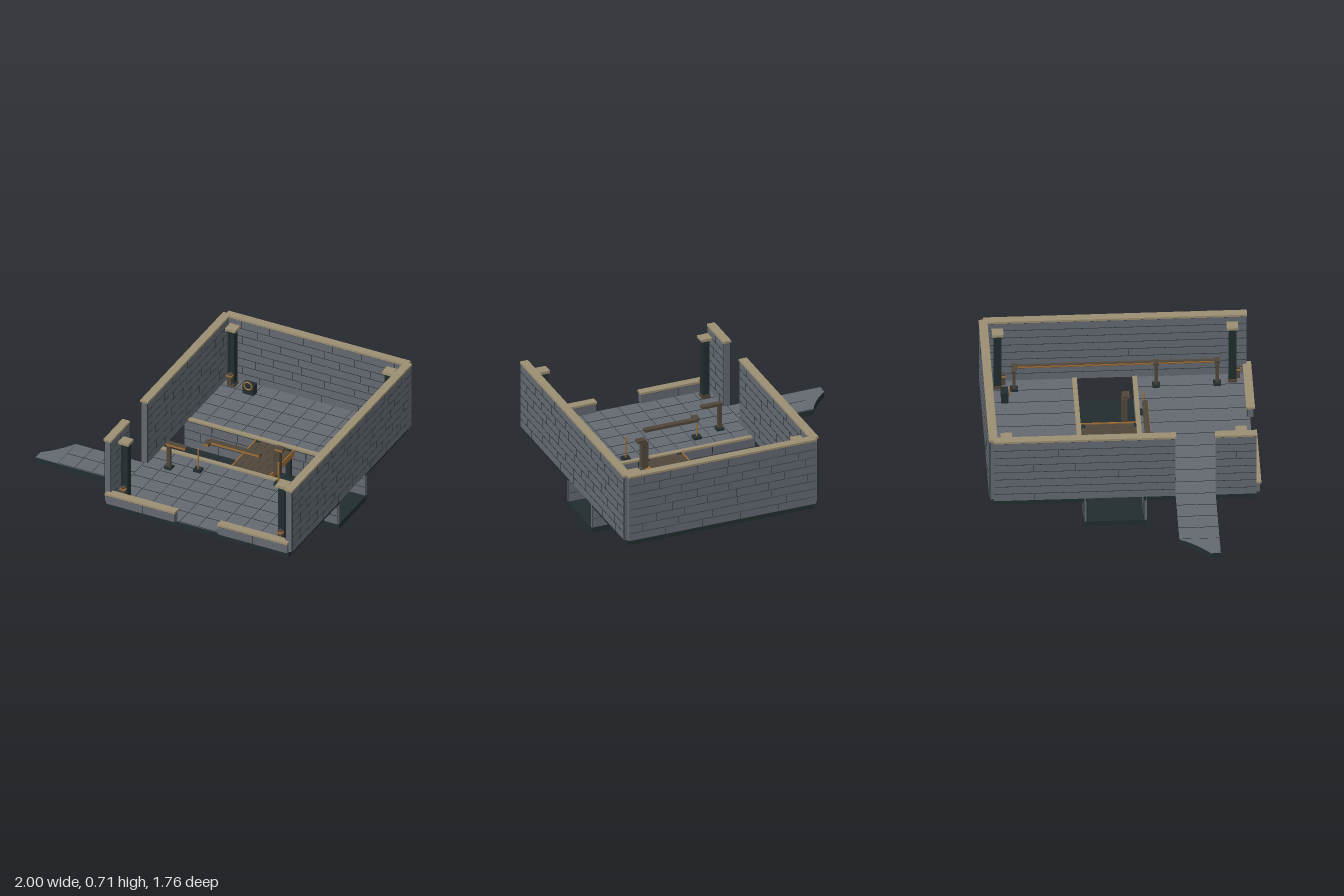
import * as THREE from 'three';
import { mergeGeometries } from 'three/addons/utils/BufferGeometryUtils.js';

const mat = (name, color) => Object.assign(new THREE.MeshStandardMaterial({ color }), { name });

export function createModel() {
  const stone = mat('grey stone', 0x646971);
  const dark = mat('dark slate', 0x222d2f);
  const tan = mat('tan coping', 0x9b8e72);
  const brown = mat('dark bronze', 0x50463a);
  const brass = mat('brass', 0xa06d32);
  const model = new THREE.Group();

  let seed = 7;
  const rand = () => (seed = (seed * 16807) % 2147483647) / 2147483647;

  // box given by its minimum and maximum corners
  function box(name, m, x0, x1, y0, y1, z0, z1, parent = model) {
    const mesh = new THREE.Mesh(new THREE.BoxGeometry(x1 - x0, y1 - y0, z1 - z0), m);
    mesh.position.set((x0 + x1) / 2, (y0 + y1) / 2, (z0 + z1) / 2);
    mesh.name = name;
    parent.add(mesh);
    return mesh;
  }

  // raised blocks facing +z: dark edges, stone faces, joints between
  function panel(name, w, h, rows, blockW, bond, depth = 0.006) {
    const bodies = [], faces = [], rh = h / rows, gap = 0.006;
    for (let r = 0; r < rows; r++) {
      let u = 0;
      let next = bond ? blockW * (r % 2 ? 0.5 : 1) * (0.8 + 0.4 * rand()) : blockW;
      while (u < w - 0.001) {
        let end = Math.min(w, u + next);
        if (w - end < blockW * 0.25) end = w;
        const bw = end - u - gap, bh = rh - gap;
        const x = (u + end) / 2 - w / 2, y = (r + 0.5) * rh - h / 2;
        bodies.push(new THREE.BoxGeometry(bw, bh, depth - 0.001).translate(x, y, (depth - 0.001) / 2));
        faces.push(new THREE.PlaneGeometry(bw, bh).translate(x, y, depth));
        u = end;
        next = bond ? blockW * (0.8 + 0.4 * rand()) : blockW;
      }
    }
    const g = new THREE.Group();
    g.name = name;
    [[bodies, dark, 'blockEdges'], [faces, stone, 'blockFaces']].forEach(([list, m, n]) => {
      const mesh = new THREE.Mesh(mergeGeometries(list), m);
      mesh.name = n;
      g.add(mesh);
    });
    return g;
  }

  // brick wall with both sides faced and an optional coping
  function wall(name, x, z, len, y0, y1, rows, turn, thick = 0.05, cap = 0.015) {
    const g = new THREE.Group(), h = y1 - y0 - cap, core = thick - 0.012;
    g.name = name;
    box('wallCore', stone, -len / 2, len / 2, 0, h, -core / 2, core / 2, g);
    for (const s of [1, -1]) {
      const p = panel('bricks', len, h, rows, 0.23, true);
      p.position.set(0, h / 2, s * core / 2);
      if (s < 0) p.rotation.y = Math.PI;
      g.add(p);
    }
    if (cap) box('coping', tan, -len / 2 - 0.004, len / 2 + 0.004, h, h + cap, -thick / 2 - 0.003, thick / 2 + 0.003, g);
    g.position.set(x, y0, z);
    g.rotation.y = turn;
    model.add(g);
  }

  // slab with a stone bed and paving tiles
  function paved(name, x0, x1, z0, z1, cols, rows) {
    box(name + 'Slab', dark, x0, x1, 0.195, 0.234, z0, z1);
    box(name + 'Bed', stone, x0, x1, 0.234, 0.236, z0, z1);
    const p = panel(name + 'Tiles', x1 - x0, z1 - z0, rows, (x1 - x0) / cols, false, 0.004);
    p.rotation.x = -Math.PI / 2;
    p.position.set((x0 + x1) / 2, 0.236, (z0 + z1) / 2);
    model.add(p);
  }
  paved('frontFloor', -0.345, 0.97, 0.12, 0.85, 10, 6);
  paved('backFloor', -0.345, 0.97, -0.85, -0.25, 10, 5);
  paved('walkway', -0.84, -0.345, 0.325, 0.585, 4, 2);

  // broken end of the walkway
  const end = new THREE.Shape();
  end.moveTo(-0.84, 0.325);
  end.quadraticCurveTo(-0.905, 0.445, -1, 0.52);
  end.lineTo(-1, 0.585);
  end.lineTo(-0.84, 0.585);
  for (const [n, m, top, d] of [['walkwayEnd', dark, 0.236, 0.041], ['walkwayEndPaving', stone, 0.24, 0.004]]) {
    const e = new THREE.Mesh(new THREE.ExtrudeGeometry(end, { depth: d, bevelEnabled: false, curveSegments: 8 }), m);
    e.rotation.x = Math.PI / 2;
    e.position.y = top;
    e.name = n;
    model.add(e);
  }

  // enclosing walls
  const q = Math.PI / 2;
  wall('leftWall', 0.97, 0, 1.7, 0.24, 0.715, 8, q);
  wall('backWall', 0.3125, -0.855, 1.315, 0.24, 0.715, 8, 0);
  wall('rightWallBack', -0.345, -0.2625, 1.175, 0.24, 0.715, 8, q);
  wall('rightWallFront', -0.345, 0.7175, 0.265, 0.24, 0.715, 8, q);
  wall('lowFrontWallRight', -0.095, 0.853, 0.5, 0.24, 0.32, 1, 0);
  wall('lowFrontWallLeft', 0.72, 0.853, 0.5, 0.24, 0.32, 1, 0);

  // channel under the floor, with curbs
  box('channelFloor', dark, -0.345, 0.97, 0, 0.04, -0.26, 0.13);
  wall('channelFrontWall', 0.3125, 0.132, 1.315, 0.04, 0.238, 3, 0, 0.026, 0);
  wall('channelBackWall', 0.3125, -0.257, 1.315, 0.04, 0.238, 3, 0, 0.026, 0);
  box('frontCurb', tan, -0.32, 0.945, 0.236, 0.25, 0.11, 0.141);
  box('backCurb', tan, -0.32, 0.945, 0.236, 0.25, -0.28, -0.249);

  // plank bridge with legs and brass edges
  for (let i = 0; i < 6; i++) {
    const x = 0.18 + i * 0.0437;
    box('bridgePlank', brown, x, x + 0.042, 0.2, 0.24, -0.245, 0.115);
  }
  for (const x of [0.172, 0.446]) box('bridgeEdge', brass, x, x + 0.008, 0.2, 0.244, -0.248, 0.112);
  for (const x of [0.18, 0.405]) for (const z of [-0.24, 0.095]) {
    box('bridgeLeg', dark, x, x + 0.035, 0.04, 0.2, z, z + 0.025);
    box('bridgeLegHead', dark, x, x + 0.035, 0.2, 0.242, z, z + 0.02);
  }

  // corner pillars with a bracket at the foot
  for (const x of [-0.26, 0.88]) for (const z of [-0.765, 0.755]) {
    const p = new THREE.Group();
    p.name = 'pillar';
    p.position.set(x, 0, z);
    model.add(p);
    box('pillarCore', dark, -0.02, 0.02, 0.24, 0.665, -0.02, 0.02, p);
    for (const s of [-0.017, 0.017]) box('pillarRib', dark, s - 0.007, s + 0.007, 0.24, 0.665, -0.025, 0.025, p);
    box('pillarFoot', brown, -0.028, 0.028, 0.24, 0.265, -0.028, 0.028, p);
    box('pillarCap', tan, -0.037, 0.037, 0.663, 0.682, -0.037, 0.037, p);
    box('pillarBracket', brown, -0.014, 0.014, 0.265, 0.345, 0.02, 0.05, p);
    box('bracketPlate', brass, -0.02, 0.02, 0.325, 0.337, 0.02, 0.052, p);
  }

  // small cabinets with a brass ring
  for (const x of [-0.115, 0.74]) {
    box('cabinet', dark, x - 0.04, x + 0.04, 0.24, 0.315, -0.75, -0.702);
    const ring = new THREE.Mesh(new THREE.TorusGeometry(0.028, 0.005, 6, 16), brass);
    ring.position.set(x, 0.308, -0.699);
    ring.name = 'cabinetRing';
    model.add(ring);
  }

  // long rail beside the left wall
  box('longRail', brown, 0.834, 0.856, 0.418, 0.436, -0.66, 0.66);
  box('longRailInlay', brass, 0.831, 0.834, 0.422, 0.432, -0.64, 0.64);
  for (const z of [-0.66, 0.26, 0.655]) {
    box('railPost', brown, 0.835, 0.855, 0.24, 0.42, z - 0.01, z + 0.01);
    box('railCollar', brown, 0.823, 0.867, 0.412, 0.437, z - 0.018, z + 0.018);
    box('railFoot', dark, 0.82, 0.87, 0.24, 0.255, z - 0.025, z + 0.025);
  }
  box('railReturn', brown, 0.77, 0.85, 0.418, 0.437, -0.678, -0.65);

  // horizontal arms with a brass front
  function arm(name, x0, x1, z) {
    box(name, brown, x0, x1, 0.418, 0.437, z - 0.018, z + 0.018);
    box(name + 'Front', brass, x0 + 0.003, x1 - 0.003, 0.421, 0.434, z + 0.018, z + 0.021);
  }
  arm('centreArm', 0.045, 0.42, 0.165);
  box('centreArmElbow', brown, 0.028, 0.066, 0.416, 0.437, 0.165, 0.215);
  box('centreArmElbowFront', brass, 0.031, 0.063, 0.42, 0.433, 0.215, 0.218);
  arm('sideArm', -0.19, -0.045, 0.31);
  box('sideArmPost', brown, -0.185, -0.16, 0.24, 0.418, 0.298, 0.322);
  box('sideArmFoot', dark, -0.197, -0.148, 0.24, 0.255, 0.285, 0.335);

  // slim brass stanchions on dark feet
  for (const [x, z] of [[0.01, 0.255], [0.548, 0.165]]) {
    box('stanchionFoot', dark, x - 0.026, x + 0.026, 0.24, 0.258, z - 0.025, z + 0.025);
    const rod = new THREE.Mesh(new THREE.CylinderGeometry(0.006, 0.006, 0.152, 8), brass);
    rod.position.set(x, 0.334, z);
    rod.name = 'stanchionRod';
    model.add(rod);
  }

  // control post beside the bridge
  box('controlPost', brown, 0.453, 0.497, 0.236, 0.42, 0.015, 0.055);
  box('controlPostHead', brown, 0.465, 0.525, 0.418, 0.437, 0.02, 0.065);
  box('controlPostPlate', brass, 0.468, 0.522, 0.421, 0.434, 0.065, 0.068);

  return model;
}
